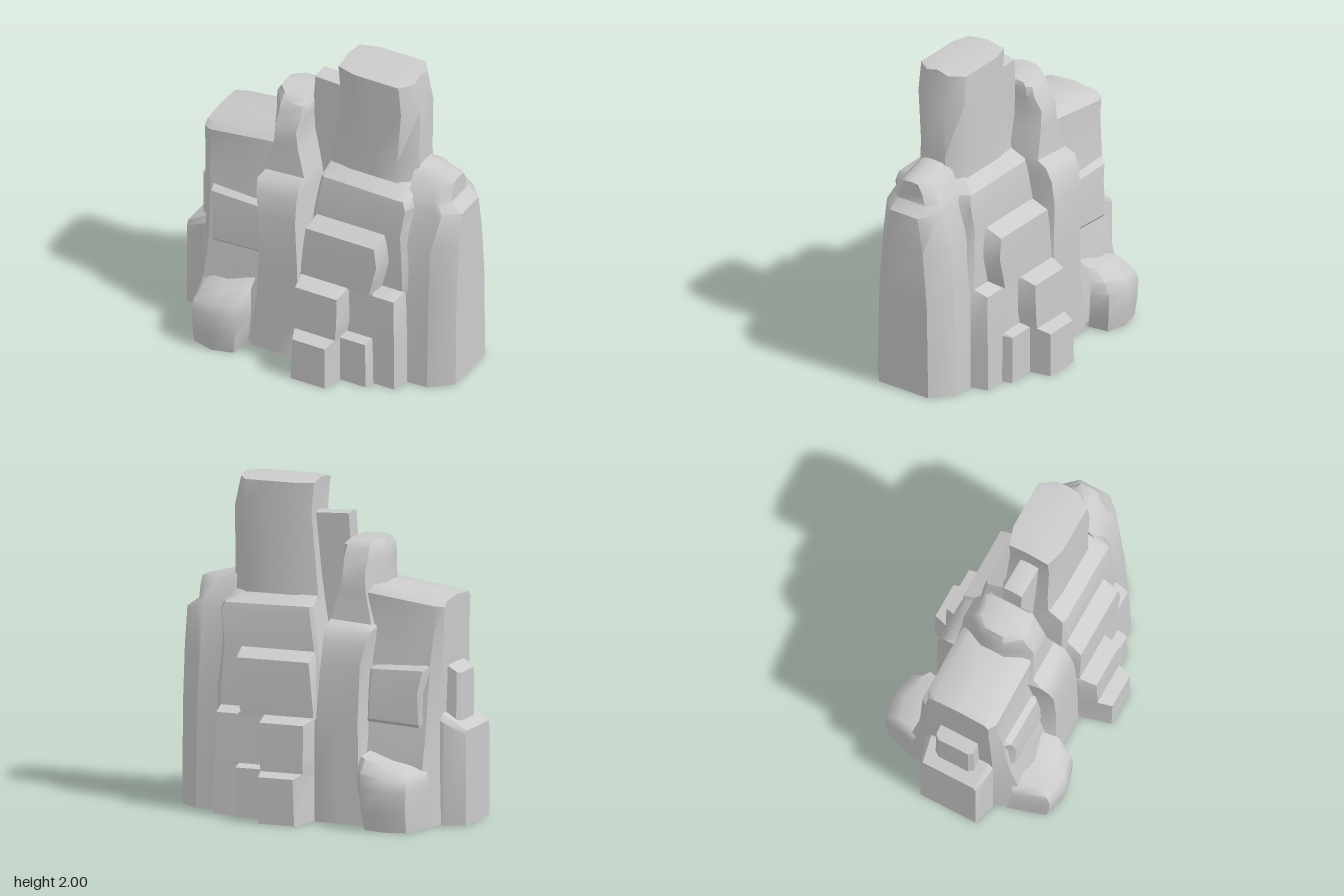
import * as THREE from 'three';
import { toCreasedNormals } from 'three/addons/utils/BufferGeometryUtils.js';

const stone = new THREE.MeshStandardMaterial({ color: 0xcccccc, side: THREE.DoubleSide });
const NONE = Infinity;

// Column of rock lofted from cross-sections that are mirrored front to back.
// Row: [yLeft, yRight, xLeft, xRight, zFace, zLeftEnd, zRightEnd, chamferLeft, chamferRight]
// left/right: height above which that end is walled (below it a neighbour adjoins).
// cap: close the top on a ridge raised by lift. bulge: extra depth mid-face. The foot stays open.
function rock(name, rows, { lift = 0, crease = 0.5, bulge = 0, left = 0, right = 0, cap = true } = {}) {
  const rings = rows.map(([yl, yr, xl, xr, z, zl, zr, cl, cr]) => {
    const mid = (xl + cl + xr - cr) / 2;
    const half = [[xl, zl], [xl + cl, z], [mid, z + bulge], [xr - cr, z], [xr, zr]].map(([x, d]) =>
      new THREE.Vector3(x, yl + (yr - yl) * (x - xl) / (xr - xl), d));
    const back = half.map(p => new THREE.Vector3(p.x, p.y, -p.z)).reverse();
    return [...half, ...back];
  });
  if (cap) rings.push(rings[rings.length - 1].map(p => new THREE.Vector3(p.x, p.y + lift, 0)));

  const pos = [];
  const tri = (a, b, c) => {
    const area = b.clone().sub(a).cross(c.clone().sub(a)).length();
    if (area > 1e-7) for (const p of [a, b, c]) pos.push(p.x, p.y, p.z);
  };
  for (let r = 0; r < rings.length - 1; r++) {
    const lo = rings[r], hi = rings[r + 1], n = lo.length;
    for (let i = 0; i < n; i++) {
      const j = (i + 1) % n;
      if ((i === 4 && lo[i].y < right) || (i === 9 && lo[i].y < left)) continue;
      tri(lo[i], lo[j], hi[j]);
      tri(lo[i], hi[j], hi[i]);
    }
  }
  const geo = new THREE.BufferGeometry();
  geo.setAttribute('position', new THREE.Float32BufferAttribute(pos, 3));
  const mesh = new THREE.Mesh(toCreasedNormals(geo, crease), stone);
  mesh.name = name;
  return mesh;
}

export function createModel() {
  const group = new THREE.Group();
  group.name = 'rockFormation';
  group.add(
    // Tall spire and the thin slab beside it
    rock('tallSpire', [
      [1.26, 1.26, 0.04, 0.61, 0.175, 0.16, 0.09, 0.14, 0.1],
      [1.45, 1.45, 0.065, 0.605, 0.17, 0.14, 0.08, 0.13, 0.1],
      [1.8, 1.8, 0.1, 0.61, 0.17, 0.13, 0.08, 0.12, 0.08],
      [1.98, 1.98, 0.085, 0.57, 0.165, 0.13, 0.08, 0.12, 0.06],
    ], { lift: 0.02, crease: 0.8 }),
    rock('thinSlab', [
      [0.7, 0.7, -0.08, 0.12, 0.06, 0.06, 0.06, 0.03, 0.03],
      [1.65, 1.65, -0.12, 0.12, 0.06, 0.06, 0.06, 0.03, 0.03],
      [1.8, 1.79, -0.11, 0.11, 0.06, 0.06, 0.06, 0.03, 0.03],
    ], { lift: 0.01 }),

    // Stepped ledges on the right half
    rock('upperLedge', [
      [0.6, 0.6, -0.03, 0.64, 0.3, 0.28, 0.28, 0.03, 0.03],
      [0.72, 0.72, -0.03, 0.64, 0.3, 0.28, 0.28, 0.03, 0.03],
      [1.02, 1.02, 0.0, 0.62, 0.29, 0.27, 0.24, 0.02, 0.03],
      [1.2, 1.2, 0.03, 0.645, 0.275, 0.26, 0.21, 0.02, 0.03],
      [1.26, 1.25, 0.04, 0.625, 0.265, 0.25, 0.2, 0.02, 0.03],
      [1.31, 1.31, 0.05, 0.6, 0.165, 0.15, 0.08, 0.02, 0.08],
    ], { right: NONE, cap: false }),
    rock('middleLedge', [
      [0.61, 0.61, -0.03, 0.47, 0.4, 0.36, 0.3, 0.01, 0.03],
      [0.66, 0.66, -0.03, 0.48, 0.4, 0.36, 0.3, 0.01, 0.03],
      [0.82, 0.82, -0.015, 0.52, 0.4, 0.34, 0.3, 0.01, 0.03],
      [0.95, 0.95, 0.0, 0.5, 0.395, 0.3, 0.29, 0.01, 0.03],
      [1.0, 1.0, 0.02, 0.49, 0.285, 0.28, 0.27, 0.01, 0.01],
    ], { left: NONE, right: NONE, cap: false }),
    rock('lowerLedge', [
      [0, 0, 0.45, 0.645, 0.405, 0.405, 0.29, 0.01, 0.03],
      [0.3, 0.3, 0.45, 0.64, 0.4, 0.4, 0.29, 0.01, 0.03],
      [0.61, 0.61, 0.45, 0.63, 0.39, 0.39, 0.285, 0.01, 0.03],
      [0.64, 0.64, 0.45, 0.62, 0.295, 0.295, 0.28, 0.01, 0.01],
    ], { left: NONE, right: NONE, cap: false }),
    rock('centreSteps', [
      [0, 0, -0.03, 0.29, 0.595, 0.4, 0.41, 0.05, 0.04],
      [0.28, 0.28, -0.03, 0.29, 0.595, 0.4, 0.41, 0.06, 0.04],
      [0.3, 0.3, -0.03, 0.29, 0.51, 0.4, 0.4, 0.03, 0.02],
      [0.4, 0.4, -0.03, 0.31, 0.51, 0.4, 0.4, 0.03, 0.03],
      [0.59, 0.59, -0.03, 0.3, 0.505, 0.4, 0.39, 0.03, 0.02],
      [0.62, 0.62, -0.03, 0.3, 0.395, 0.39, 0.38, 0.01, 0.01],
    ], { left: NONE, right: NONE, cap: false }),
    rock('sideSteps', [
      [0, 0, 0.28, 0.475, 0.465, 0.465, 0.4, 0.01, 0.02],
      [0.3, 0.3, 0.28, 0.465, 0.465, 0.465, 0.4, 0.01, 0.015],
      [0.315, 0.315, 0.28, 0.46, 0.4, 0.4, 0.4, 0.01, 0.01],
      [0.62, 0.62, 0.28, 0.46, 0.39, 0.39, 0.39, 0.01, 0.01],
    ], { left: NONE, right: NONE, cap: false }),

    // Rounded buttress at the right end
    rock('rightButtress', [
      [0, 0, 0.61, 0.905, 0.29, 0.3, 0.18, 0.15, 0.13],
      [0.6, 0.6, 0.61, 0.905, 0.275, 0.29, 0.17, 0.15, 0.13],
      [0.95, 0.95, 0.61, 0.905, 0.245, 0.255, 0.14, 0.13, 0.13],
      [1.21, 1.175, 0.6, 0.905, 0.19, 0.21, 0.1, 0.13, 0.09],
      [1.27, 1.23, 0.59, 0.83, 0.17, 0.18, 0.1, 0.12, 0.05],
      [1.37, 1.3, 0.585, 0.83, 0.12, 0.12, 0.08, 0.1, 0.05],
      [1.415, 1.355, 0.585, 0.83, 0.06, 0.07, 0.05, 0.09, 0.04],
    ], { lift: 0.005, crease: 0.8, left: 1.2 }),

    // Leaning pillar left of the cleft
    rock('leaningPillar', [
      [0, 0, -0.39, -0.02, 0.405, 0.35, 0.39, 0.04, 0.02],
      [0.35, 0.35, -0.35, -0.02, 0.4, 0.34, 0.38, 0.04, 0.02],
      [0.62, 0.62, -0.335, -0.025, 0.4, 0.3, 0.36, 0.03, 0.02],
      [0.95, 0.95, -0.345, -0.045, 0.39, 0.25, 0.26, 0.03, 0.02],
      [1.08, 1.09, -0.36, -0.055, 0.365, 0.23, 0.22, 0.02, 0.015],
      [1.15, 1.165, -0.365, -0.06, 0.325, 0.22, 0.2, 0.01, 0.01],
      [1.18, 1.2, -0.365, -0.065, 0.26, 0.2, 0.16, 0.03, 0.01],
      [1.38, 1.38, -0.365, -0.1, 0.24, 0.08, 0.15, 0.075, 0.03],
      [1.49, 1.49, -0.365, -0.125, 0.235, 0.07, 0.15, 0.08, 0.02],
      [1.56, 1.57, -0.365, -0.115, 0.19, 0.07, 0.15, 0.08, 0.02],
      [1.625, 1.635, -0.36, -0.115, 0.165, 0.07, 0.14, 0.075, 0.03],
      [1.665, 1.655, -0.34, -0.13, 0.12, 0.06, 0.11, 0.06, 0.02],
    ], { lift: 0.005, crease: 0.7, left: 1.3, right: 0.6 }),

    // Left wall with its panel, foot and small outcrops
    rock('leftWall', [
      [0, 0, -0.77, -0.32, 0.36, 0.22, 0.36, 0.07, 0.02],
      [0.35, 0.35, -0.76, -0.32, 0.355, 0.22, 0.355, 0.06, 0.02],
      [0.59, 0.62, -0.76, -0.31, 0.295, 0.22, 0.295, 0.06, 0.02],
      [0.96, 0.95, -0.77, -0.31, 0.26, 0.21, 0.26, 0.06, 0.02],
      [1.15, 1.18, -0.775, -0.3, 0.235, 0.2, 0.235, 0.05, 0.02],
      [1.31, 1.37, -0.78, -0.29, 0.23, 0.2, 0.22, 0.05, 0.02],
      [1.34, 1.41, -0.78, -0.29, 0.18, 0.17, 0.18, 0.05, 0.02],
    ], { lift: 0.015, crease: 0.6, left: 0.5, right: NONE }),
    rock('wallPanel', [
      [0.59, 0.61, -0.69, -0.32, 0.305, 0.28, 0.3, 0.03, 0.02],
      [0.61, 0.63, -0.69, -0.325, 0.32, 0.27, 0.3, 0.03, 0.02],
      [0.8, 0.8, -0.68, -0.33, 0.315, 0.265, 0.29, 0.03, 0.02],
      [0.935, 0.925, -0.72, -0.34, 0.3, 0.25, 0.28, 0.04, 0.02],
      [0.97, 0.95, -0.72, -0.35, 0.25, 0.24, 0.25, 0.03, 0.02],
    ], { left: NONE, right: NONE, cap: false }),
    rock('boulder', [
      [0, 0, -0.74, -0.385, 0.53, 0.3, 0.4, 0.07, 0.02],
      [0.12, 0.12, -0.74, -0.345, 0.55, 0.32, 0.44, 0.07, 0.04],
      [0.24, 0.26, -0.735, -0.325, 0.555, 0.33, 0.46, 0.06, 0.06],
      [0.3, 0.34, -0.73, -0.325, 0.53, 0.33, 0.46, 0.06, 0.05],
      [0.33, 0.42, -0.72, -0.34, 0.46, 0.33, 0.43, 0.06, 0.04],
      [0.35, 0.44, -0.71, -0.36, 0.34, 0.3, 0.34, 0.05, 0.03],
    ], { bulge: 0.035, crease: 0.9, left: NONE, right: NONE, cap: false }),
    rock('leftFoot', [
      [0, 0, -0.91, -0.74, 0.225, 0.185, 0.23, 0.13, 0.02],
      [0.54, 0.64, -0.91, -0.74, 0.22, 0.185, 0.22, 0.13, 0.02],
      [0.57, 0.68, -0.91, -0.74, 0.19, 0.17, 0.19, 0.13, 0.02],
    ], { right: NONE }),
    rock('leftOutcrop', [
      [0.58, 0.62, -0.845, -0.74, 0.13, 0.1, 0.13, 0.02, 0.02],
      [0.9, 0.96, -0.845, -0.74, 0.125, 0.1, 0.125, 0.02, 0.02],
    ], { lift: 0.005, right: NONE }),
  );
  return group;
}
